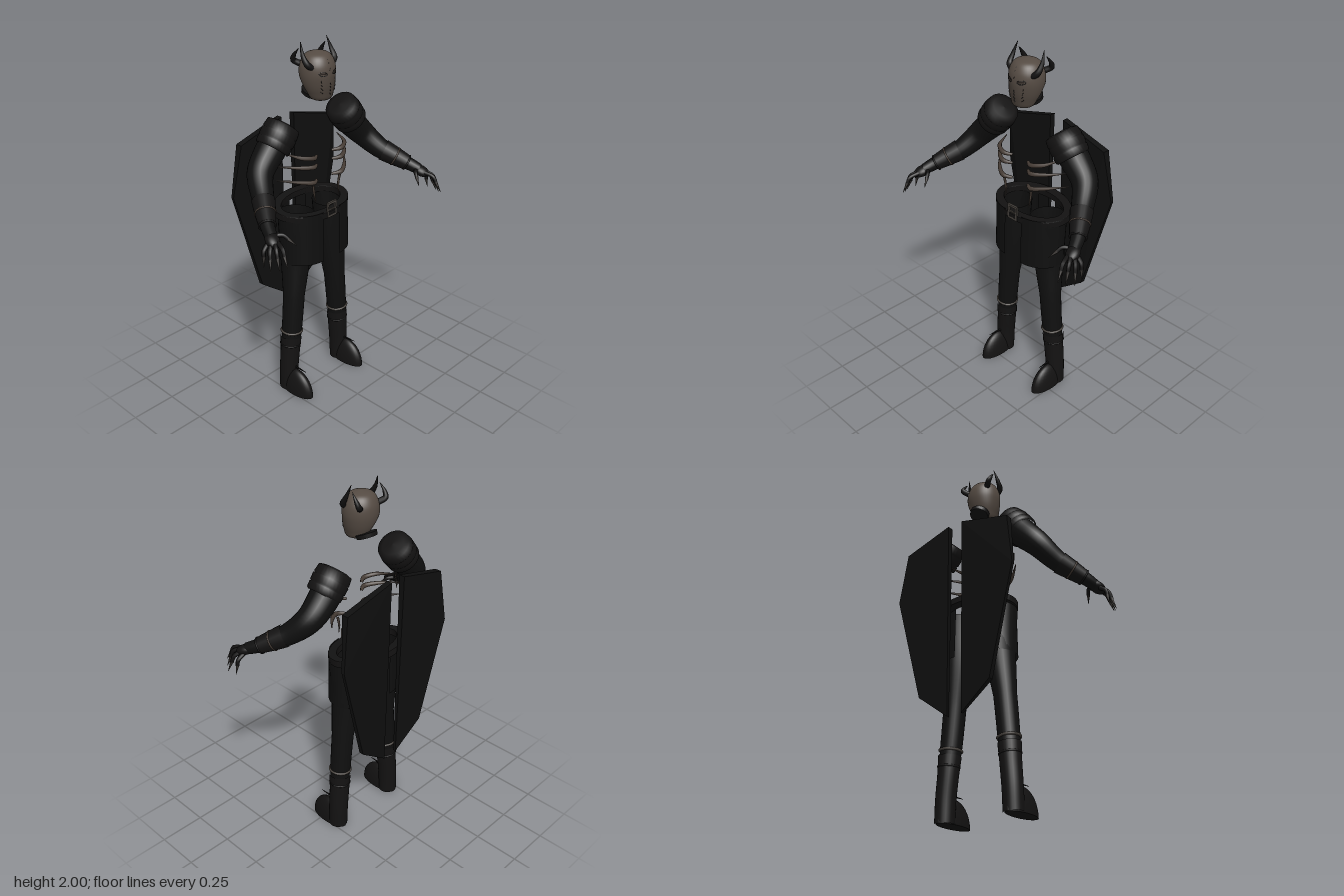
import * as THREE from 'three';
import { ConvexGeometry } from 'three/addons/geometries/ConvexGeometry.js';

const V = (x, y, z) => new THREE.Vector3(x, y, z);

export function createModel() {
  const model = new THREE.Group();
  model.name = 'maskedFigure';
  const mat = (name, color, double) => {
    const m = new THREE.MeshStandardMaterial({ color });
    m.name = name;
    if (double) m.side = THREE.DoubleSide;
    return m;
  };
  const cloth = mat('blackCloth', 0x0f0f0f, true);
  const leather = mat('blackLeather', 0x131212);
  const mask = mat('maskBrown', 0x554b43);
  const bone = mat('boneBrown', 0x453b34);
  const metal = mat('dullMetal', 0x47423d);
  const claw = mat('clawBrown', 0x2e2a27);

  const add = (name, geo, material, parent = model) => {
    const mesh = new THREE.Mesh(geo, material);
    mesh.name = name;
    parent.add(mesh);
    return mesh;
  };

  // Round limb through points [x, y, z, radius]
  const sweep = (pts, rings = 24, sides = 16) => {
    const curve = new THREE.CatmullRomCurve3(pts.map((p) => V(p[0], p[1], p[2])));
    const geo = new THREE.TubeGeometry(curve, rings, 1, sides);
    const pos = geo.attributes.position;
    const v = V(0, 0, 0);
    for (let i = 0; i <= rings; i++) {
      const u = i / rings;
      const c = curve.getPointAt(u);
      const t = curve.getUtoTmapping(u) * (pts.length - 1);
      const k = Math.min(Math.floor(t), pts.length - 2);
      const r = THREE.MathUtils.lerp(pts[k][3], pts[k + 1][3], t - k);
      for (let j = 0; j <= sides; j++) {
        const n = i * (sides + 1) + j;
        v.fromBufferAttribute(pos, n).sub(c).multiplyScalar(r).add(c);
        pos.setXYZ(n, v.x, v.y, v.z);
      }
    }
    return geo;
  };

  // Ring facing along a direction
  const hoop = (name, at, dir, r, tube, material, parent) => {
    const m = add(name, new THREE.TorusGeometry(r, tube, 8, 28), material, parent);
    m.position.copy(at);
    m.quaternion.setFromUnitVectors(V(0, 0, 1), dir.clone().normalize());
    return m;
  };

  // Head: egg-shaped mask with the chin pushed forward
  const head = new THREE.Group();
  head.name = 'head';
  model.add(head);
  const profile = new THREE.SplineCurve([[0.001, 1.7], [0.05, 1.707], [0.072, 1.745], [0.088, 1.79],
    [0.096, 1.84], [0.089, 1.89], [0.06, 1.93], [0.001, 1.945]].map((p) => new THREE.Vector2(...p))).getPoints(40);
  const lean = (y) => -0.06 + 0.025 * THREE.MathUtils.clamp((1.82 - y) / 0.1, 0, 1);
  const skull = new THREE.LatheGeometry(profile, 40);
  const sp = skull.attributes.position;
  for (let i = 0; i < sp.count; i++) sp.setZ(i, sp.getZ(i) * 0.93 + lean(sp.getY(i)));
  add('mask', skull, mask, head);
  const face = (x, y) => {
    const k = profile.findIndex((p) => p.y >= y);
    const r = profile[Math.max(k, 0)].x;
    return V(x, y, 0.93 * Math.sqrt(Math.max(r * r - x * x, 0)) + lean(y));
  };
  const seam = (name, list, r, closed, material) => add(name,
    new THREE.TubeGeometry(new THREE.CatmullRomCurve3(list.map((p) => face(...p)), closed), 20, r, 5, closed), material, head);

  // Stitches down the middle and across the cheeks
  for (let i = 0; i < 4; i++) {
    const y = 1.92 - i * 0.016;
    seam('browStitch', [[0.003, y], [-0.003, y - 0.011]], 0.0017, false, leather);
    const m = 1.8 - i * 0.017;
    seam('mouthStitch', [[-0.003, m], [0.003, m - 0.011]], 0.0017, false, leather);
    for (const s of [-1, 1]) {
      seam('cheekStitch', [[s * 0.052, 1.815 - i * 0.019], [s * (0.047 - i * 0.002), 1.804 - i * 0.019]], 0.0017, false, leather);
    }
  }
  const collar = add('neckCollar', new THREE.CylinderGeometry(0.056, 0.052, 0.022, 28), leather, head);
  collar.position.set(0, 1.725, -0.1);
  collar.rotation.x = 0.38;

  // Belt: tilted oval band with a square buckle
  const oval = (rx, rz) => new THREE.Shape().absellipse(0, 0, rx, rz, 0, Math.PI * 2);
  const band = oval(0.238, 0.155);
  band.holes.push(oval(0.2, 0.115));
  const belt = add('belt', new THREE.ExtrudeGeometry(band, { depth: 0.03, bevelSize: 0.004, bevelThickness: 0.004, bevelSegments: 2, curveSegments: 32 }), leather);
  belt.rotation.x = Math.PI / 2 - 0.1;
  belt.rotation.x = -Math.PI / 2 + 0.1;
  belt.position.set(0, 1.085, -0.115);
  const frame = new THREE.Shape([[-0.034, -0.042], [0.034, -0.042], [0.034, 0.042], [-0.034, 0.042]].map((p) => new THREE.Vector2(...p)));
  frame.holes.push(new THREE.Path([[-0.024, -0.03], [-0.024, 0.03], [0.024, 0.03], [0.024, -0.03]].map((p) => new THREE.Vector2(...p))));
  add('buckle', new THREE.ExtrudeGeometry(frame, { depth: 0.012, bevelEnabled: false }), metal).position.set(0, 1.113, 0.034);
  add('buckleBar', new THREE.BoxGeometry(0.06, 0.008, 0.008), metal).position.set(0, 1.113, 0.041);

  for (const s of [1, -1]) {
    const side = new THREE.Group();
    side.name = s > 0 ? 'leftSide' : 'rightSide';
    model.add(side);
    const limb = (name, pts, material, rings, sides) =>
      add(name, sweep(pts.map(([x, y, z, r]) => [s * x, y, z, r]), rings, sides), material, side);

    // Eye outline and slit
    const eye = [];
    for (let i = 0; i < 10; i++) {
      const a = i * Math.PI / 5;
      eye.push([s * (0.04 + 0.021 * Math.cos(a)), 1.846 + 0.01 * Math.sin(a) + 0.003 * Math.cos(a)]);
    }
    seam('eyeRim', eye, 0.0018, true, leather);
    seam('eyeSlit', [[s * 0.027, 1.844], [s * 0.04, 1.846], [s * 0.054, 1.849]], 0.0025, false, bone);

    // Horns
    limb('frontHorn', [[0.07, 1.875, -0.025, 0.016], [0.096, 1.895, -0.035, 0.016], [0.1, 1.935, -0.06, 0.011], [0.09, 1.998, -0.085, 0.001]], leather, 20, 10);
    limb('backHorn', [[0.065, 1.88, -0.115, 0.016], [0.092, 1.9, -0.135, 0.015], [0.098, 1.925, -0.125, 0.011], [0.094, 1.965, -0.095, 0.001]], leather, 20, 10);

    // Coat wing: a faceted slab behind the body
    const slab = [];
    for (const [x, y, zf, zb] of [[0.045, 1.555, -0.28, -0.312], [0.34, 1.48, -0.267, -0.305],
      [0.38, 1.19, -0.302, -0.319], [0.225, 0.61, -0.275, -0.302], [0.045, 0.475, -0.276, -0.291]]) {
      slab.push(V(s * x, y, zf), V(s * x, y, zb));
    }
    add('coatWing', new ConvexGeometry(slab), cloth, side);

    // Ribs and the breastbone stub
    for (const [y, w, drop] of [[1.445, 0.2, 0.025], [1.383, 0.245, 0.012], [1.31, 0.255, 0.025]]) {
      limb('rib', [[0.055, y - drop - 0.006, -0.015, 0.007], [0.1, y - drop, 0.01, 0.013], [0.16, y - drop * 0.6, -0.02, 0.011],
        [w, y, -0.11, 0.002]], bone, 18, 8);
    }
    limb('lowerRib', [[0.1, 1.27, 0.005, 0.007], [0.092, 1.22, 0.002, 0.006], [0.086, 1.165, 0.01, 0.001]], bone, 10, 8);

    // Arm with a banded shoulder guard
    limb('arm', [[0.225, 1.57, -0.093, 0.08], [0.305, 1.48, -0.1, 0.077], [0.38, 1.4, -0.085, 0.068], [0.445, 1.31, 0, 0.055],
      [0.53, 1.235, 0.12, 0.036], [0.56, 1.205, 0.18, 0.03]], cloth, 36, 20);
    const guard = [[0, -0.012], [0.06, -0.008], [0.087, 0], [0.093, 0.04], [0.087, 0.045], [0.094, 0.05], [0.093, 0.085],
      [0.086, 0.09], [0.092, 0.095], [0.09, 0.125], [0.08, 0.132]].map((p) => new THREE.Vector2(...p));
    const pad = add('shoulderGuard', new THREE.LatheGeometry(guard, 32), leather, side);
    pad.position.set(s * 0.208, 1.6, -0.093);
    pad.quaternion.setFromUnitVectors(V(0, 1, 0), V(s * 0.64, -0.77, 0).normalize());
    limb('bracer', [[0.45, 1.305, 0.008, 0.059], [0.49, 1.27, 0.063, 0.052], [0.53, 1.235, 0.12, 0.042]], leather, 10, 20);
    const along = V(s * 0.085, -0.075, 0.12);
    hoop('bracerStrap', V(s * 0.49, 1.27, 0.063), along, 0.05, 0.005, bone, side);
    hoop('wristStrap', V(s * 0.528, 1.236, 0.117), along, 0.041, 0.005, leather, side);

    // Hand with clawed fingers
    const palm = add('palm', new THREE.SphereGeometry(1, 20, 14), leather, side);
    palm.position.set(s * 0.565, 1.197, 0.19);
    palm.scale.set(0.036, 0.027, 0.05);
    palm.rotation.set(0.4, s * 0.35, 0);
    const fingers = [
      [[0.56, 1.195, 0.22], [0.575, 1.18, 0.27], [0.588, 1.1, 0.315]],
      [[0.575, 1.195, 0.215], [0.597, 1.175, 0.25], [0.612, 1.083, 0.285]],
      [[0.585, 1.19, 0.2], [0.613, 1.165, 0.222], [0.637, 1.075, 0.25]],
      [[0.585, 1.185, 0.18], [0.617, 1.16, 0.185], [0.63, 1.078, 0.195]],
      [[0.545, 1.205, 0.17], [0.505, 1.205, 0.2], [0.468, 1.155, 0.255]],
    ];
    for (const [a, b, c] of fingers) {
      const mid = b.map((v, i) => v * 0.6 + c[i] * 0.4);
      limb('finger', [[...a, 0.012], [...b, 0.011], [...mid, 0.009]], leather, 10, 8);
      limb('claw', [[...b.map((v, i) => v * 0.65 + c[i] * 0.35), 0.01], [...mid, 0.009], [...c, 0.001]], claw, 10, 8);
    }

    // Leg, straps and boot
    limb('leg', [[0.13, 1.09, -0.095, 0.1], [0.137, 0.85, -0.097, 0.084], [0.163, 0.6, -0.09, 0.06], [0.182, 0.4, -0.09, 0.057],
      [0.197, 0.25, -0.093, 0.05]], cloth, 36, 24);
    limb('bootShaft', [[0.189, 0.345, -0.092, 0.06], [0.196, 0.25, -0.094, 0.055], [0.207, 0.12, -0.096, 0.053], [0.211, 0.002, -0.096, 0.052]], leather, 16, 24);
    hoop('bootCuff', V(s * 0.193, 0.29, -0.094), V(s * -0.08, 1, 0), 0.054, 0.006, leather, side);
    hoop('kneeStrap', V(s * 0.185, 0.375, -0.09), V(s * -0.08, 1, 0), 0.057, 0.007, metal, side);
    const foot = new THREE.SphereGeometry(1, 28, 20);
    foot.scale(0.05, 0.14, 0.12);
    const fp = foot.attributes.position;
    for (let i = 0; i < fp.count; i++) fp.setY(i, Math.max(fp.getY(i), 0));
    foot.computeVertexNormals();
    add('foot', foot, leather, side).position.set(s * 0.211, 0, -0.03);
    limb('bootSpike', [[0.2, 0.15, -0.06, 0.006], [0.205, 0.153, -0.02, 0.005], [0.207, 0.155, 0.04, 0.001]], leather, 8, 6);

    // Open hip skirt wrapped round the outside of the thigh
    const skirt = new THREE.CylinderGeometry(1, 1.04, 0.29, 28, 1, true, s > 0 ? 0 : Math.PI, Math.PI);
    skirt.scale(0.155, 1, 0.128);
    const skirtMesh = add('hipSkirt', skirt, cloth, side);
    skirtMesh.position.set(s * 0.06, 0.965, -0.09);
  }
  return model;
}
